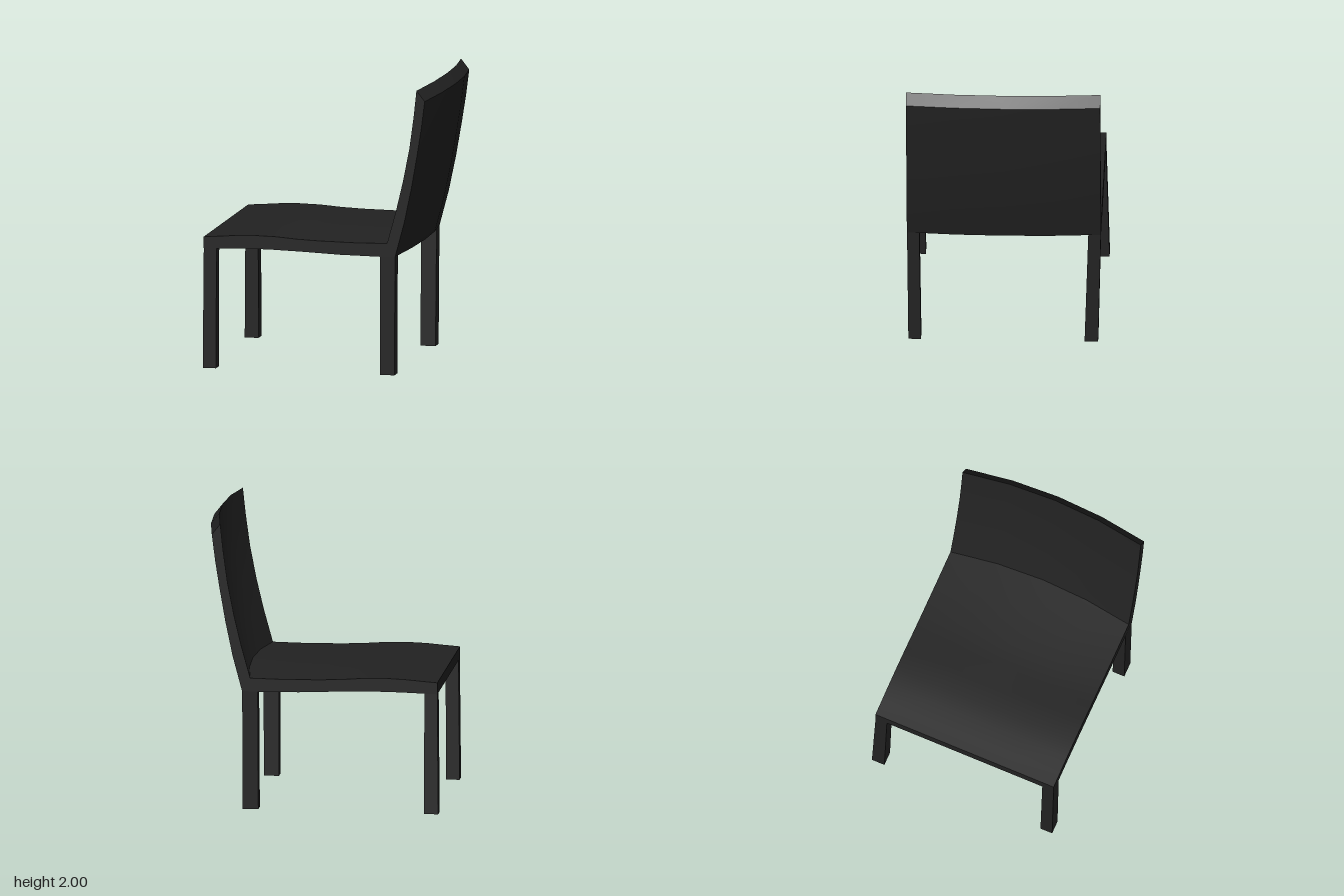
import * as THREE from 'three';
import { toCreasedNormals } from 'three/addons/utils/BufferGeometryUtils.js';

const material = new THREE.MeshStandardMaterial({ color: 0x222222 });
const Z_MIN = -0.655, Z_MAX = 0.675;

// One bent slab: side profile of seat and backrest, swept across z and bowed to the rear
function createShell() {
  const profile = [
    // top of the seat, front to rear
    [-0.807, 0.912], [-0.7, 0.92], [-0.58, 0.93], [-0.45, 0.935], [-0.3, 0.932],
    [-0.15, 0.921], [0, 0.915], [0.25, 0.912], [0.483, 0.916],
    // front of the backrest, upward
    [0.545, 1.14], [0.595, 1.35], [0.64, 1.58], [0.67, 1.8], [0.69, 1.985],
    // rear of the backrest, downward
    [0.748, 1.912], [0.725, 1.73], [0.695, 1.54], [0.655, 1.31], [0.605, 1.07], [0.54, 0.826],
    // underside, rear to front
    [0.43, 0.822], [0.15, 0.825], [-0.1, 0.835], [-0.35, 0.842], [-0.55, 0.84], [-0.807, 0.832],
  ].map(([x, y]) => new THREE.Vector2(x, y));

  const geometry = new THREE.ExtrudeGeometry(new THREE.Shape(profile), {
    depth: Z_MAX - Z_MIN, steps: 4, bevelEnabled: false,
  });
  geometry.translate(0, 0, Z_MIN);
  const p = geometry.attributes.position;
  const middle = (Z_MIN + Z_MAX) / 2, half = (Z_MAX - Z_MIN) / 2;
  for (let i = 0; i < p.count; i++) {
    const u = (p.getZ(i) - middle) / half;
    const bow = (1 - u * u) * THREE.MathUtils.smoothstep(p.getX(i), -0.4, 0.48);
    p.setX(i, p.getX(i) + 0.06 * bow);
    p.setY(i, p.getY(i) + 0.015 * bow);
  }
  const mesh = new THREE.Mesh(toCreasedNormals(geometry, 0.5), material);
  mesh.name = 'seatAndBackrest';
  return mesh;
}

// Four-sided leg running between a foot and a top rectangle, each [x0, x1, z0, z1]
function createLeg(name, foot, top) {
  const geometry = new THREE.BoxGeometry(1, 0.838, 1).translate(0, 0.419, 0);
  const p = geometry.attributes.position;
  for (let i = 0; i < p.count; i++) {
    const r = p.getY(i) > 0.4 ? top : foot;
    p.setX(i, p.getX(i) < 0 ? r[0] : r[1]);
    p.setZ(i, p.getZ(i) < 0 ? r[2] : r[3]);
  }
  geometry.computeVertexNormals();
  const mesh = new THREE.Mesh(geometry, material);
  mesh.name = name;
  return mesh;
}

export function createModel() {
  const group = new THREE.Group();
  group.name = 'chair';
  group.add(createShell());

  // Slightly splayed legs
  group.add(
    createLeg('frontLegA', [-0.815, -0.722, 0.58, 0.667], [-0.806, -0.717, 0.59, 0.674]),
    createLeg('frontLegB', [-0.815, -0.718, -0.678, -0.585], [-0.806, -0.717, -0.654, -0.57]),
    createLeg('rearLegA', [0.43, 0.533, 0.578, 0.665], [0.432, 0.539, 0.59, 0.674]),
    createLeg('rearLegB', [0.43, 0.537, -0.635, -0.542], [0.432, 0.539, -0.654, -0.568]),
  );
  return group;
}
